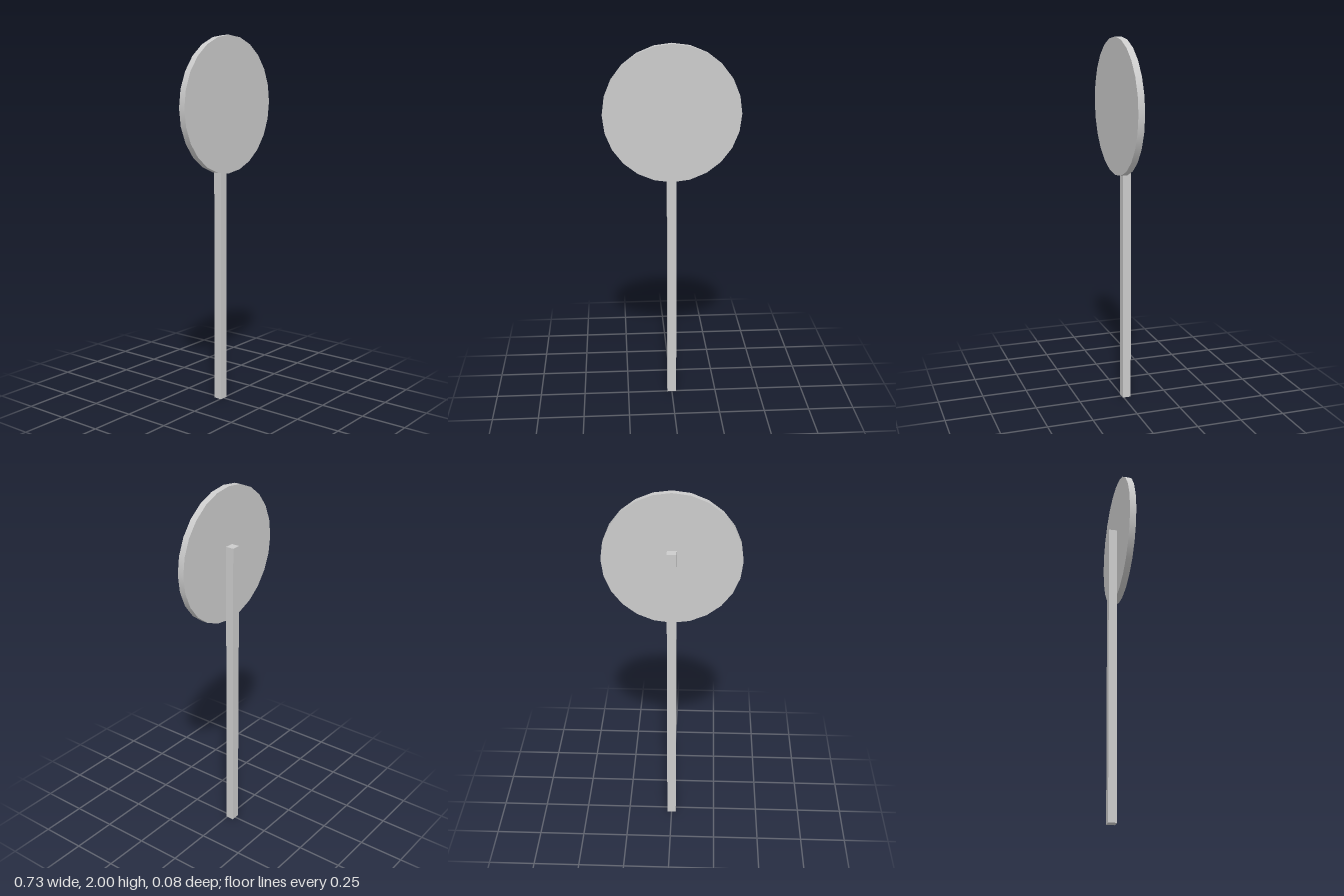
import * as THREE from 'three';

export function createModel() {
  const group = new THREE.Group();
  const material = new THREE.MeshStandardMaterial({ color: 0xcccccc });

  const add = (name, geometry, x, y, z) => {
    const mesh = new THREE.Mesh(geometry, material);
    mesh.name = name;
    mesh.position.set(x, y, z);
    group.add(mesh);
  };

  // Square post standing behind the disc, ending just above its centre
  const postHeight = 1.69;
  add('post', new THREE.BoxGeometry(0.05, postHeight, 0.046), 0, postHeight / 2, -0.018);

  // Round sign plate facing forward
  const radius = 0.363;
  const plate = new THREE.CylinderGeometry(radius, radius, 0.035, 24).rotateX(Math.PI / 2);
  add('signPlate', plate, 0, 2 - radius, 0.0225);

  return group;
}
